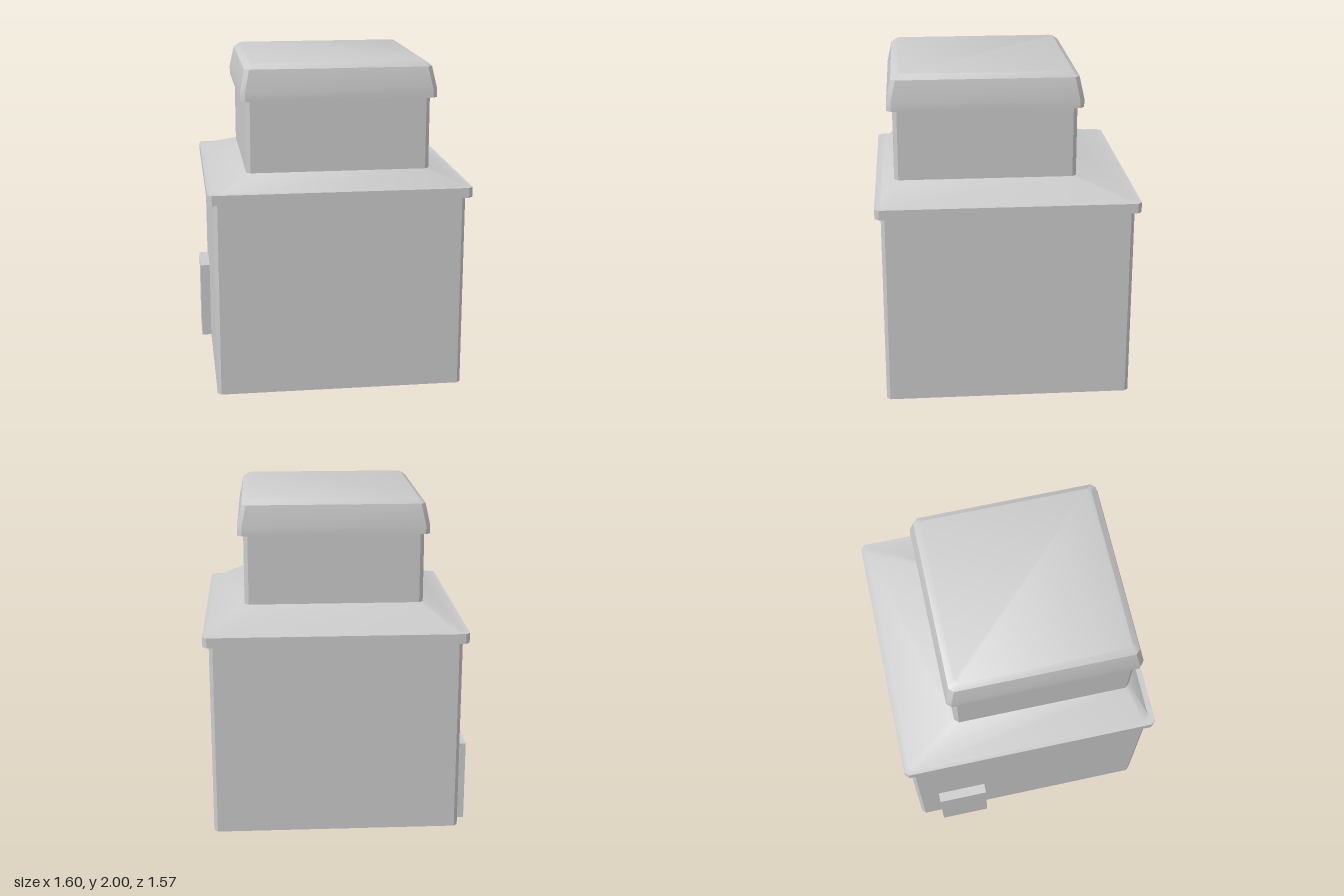
import * as THREE from 'three';
import { toCreasedNormals } from 'three/addons/utils/BufferGeometryUtils.js';

const material = new THREE.MeshStandardMaterial({ color: 0xcccccc, side: THREE.DoubleSide });

// Eight corners of a rectangle with cut corners, at height y
function ring(y, x0, x1, z0, z1, c) {
  return [
    [x1, z1 - c], [x1, z0 + c], [x1 - c, z0], [x0 + c, z0],
    [x0, z0 + c], [x0, z1 - c], [x0 + c, z1], [x1 - c, z1],
  ].map(([x, z]) => [x, y, z]);
}

// Open shell lofted through rings, listed from bottom to top
function loft(name, rings, closeTop = false) {
  const positions = [];
  for (let k = 0; k + 1 < rings.length; k++) {
    const a = rings[k], b = rings[k + 1];
    for (let i = 0; i < 8; i++) {
      const j = (i + 1) % 8;
      positions.push(...a[i], ...a[j], ...b[j], ...a[i], ...b[j], ...b[i]);
    }
  }
  if (closeTop) {
    const t = rings[rings.length - 1];
    for (let i = 1; i < 7; i++) positions.push(...t[0], ...t[i], ...t[i + 1]);
  }
  const geometry = new THREE.BufferGeometry();
  geometry.setAttribute('position', new THREE.Float32BufferAttribute(positions, 3));
  const mesh = new THREE.Mesh(toCreasedNormals(geometry, THREE.MathUtils.degToRad(38)), material);
  mesh.name = name;
  return mesh;
}

export function createModel() {
  const group = new THREE.Group();
  group.name = 'building';

  // Rectangles shared by neighbouring parts
  const wall = [-0.74, 0.76, -0.75, 0.75, 0.022];
  const ledge = [-0.775, 0.795, -0.785, 0.785, 0.025];
  const eave = [-0.745, 0.765, -0.755, 0.75, 0.035];
  const tower = [-0.54, 0.55, -0.425, 0.667, 0.025];
  const rim = [-0.57, 0.585, -0.46, 0.7, 0.027];

  // Main walls, open underneath
  group.add(loft('walls', [ring(0.01, ...wall), ring(1.2, ...wall)]));

  // Ledge with its underside
  group.add(loft('ledge', [ring(1.2, ...wall), ring(1.2, ...ledge), ring(1.26, ...ledge)]));

  // Hipped roof, steep at the front
  group.add(loft('lowerRoof', [ring(1.26, ...ledge), ring(1.26, ...eave), ring(1.36, ...tower)]));

  // Upper storey, set towards the front
  group.add(loft('upperWalls', [ring(1.36, ...tower), ring(1.79, ...tower)]));

  // Overhanging cap with sloped sides and bevelled top
  group.add(loft('cap', [
    ring(1.79, ...tower),
    ring(1.79, ...rim),
    ring(1.84, ...rim),
    ring(1.97, -0.543, 0.558, -0.433, 0.672, 0.027),
    ring(2.0, -0.505, 0.52, -0.395, 0.634, 0.02),
  ], true));

  // Door slab on the side
  const door = new THREE.Mesh(new THREE.BoxGeometry(0.075, 0.5, 0.31), material);
  door.name = 'door';
  door.position.set(-0.7625, 0.25, -0.455);
  group.add(door);

  return group;
}
